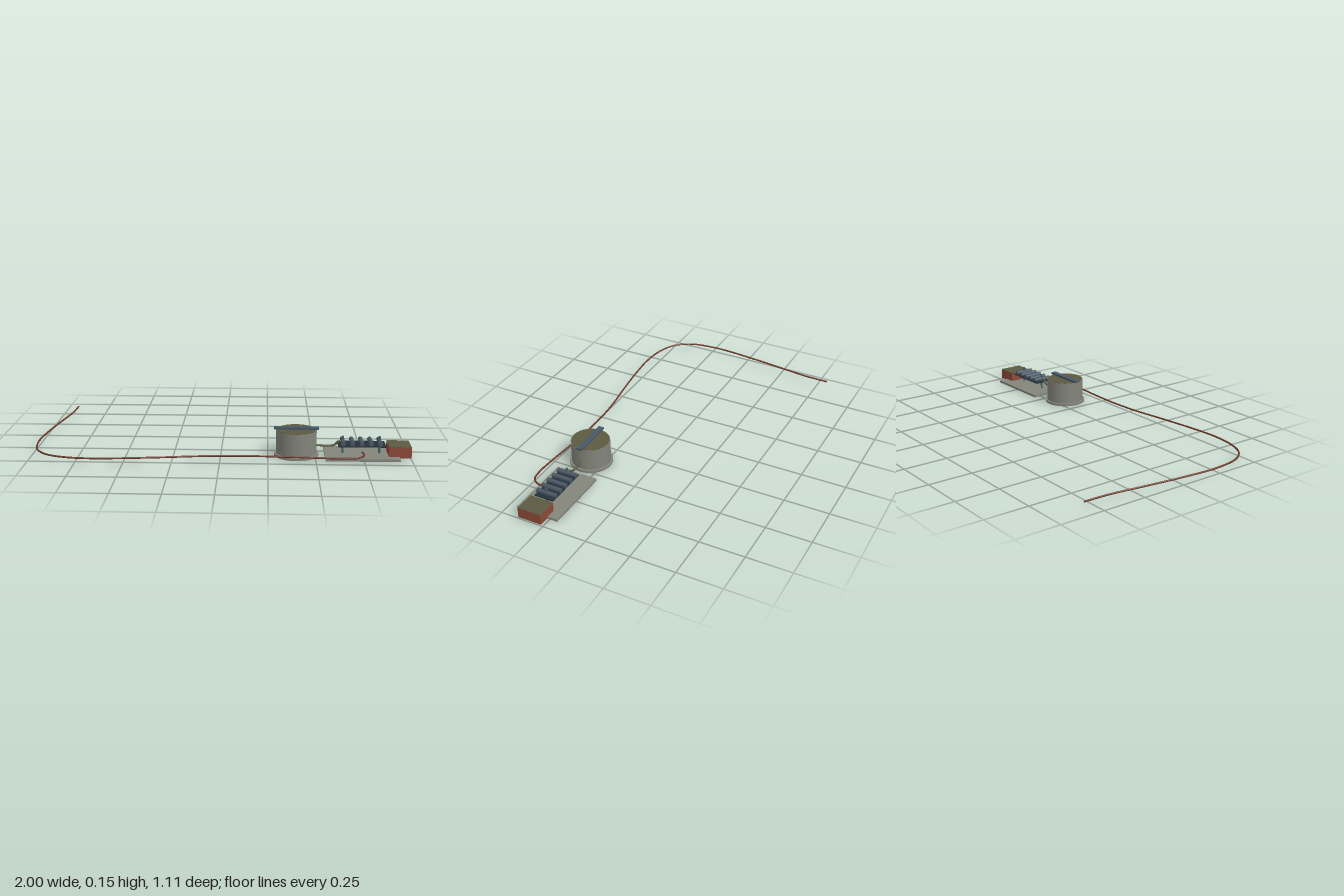
import * as THREE from 'three';

const mat = (name, color) => Object.assign(new THREE.MeshStandardMaterial({ color }), { name });

export function createModel() {
  const stone = mat('warm grey', 0x83847a);
  const olive = mat('olive', 0x5c5a40);
  const steel = mat('blue steel', 0x4a5865);
  const dark = mat('dark slate', 0x26323a);
  const teal = mat('teal', 0x3c6468);
  const brick = mat('brick red', 0x8c4a38);
  const hoseMat = mat('hose brown', 0x6e3a2c);

  const model = new THREE.Group();
  model.name = 'model';
  const add = (name, geometry, material, x, y, z, parent = model) => {
    const mesh = new THREE.Mesh(geometry, material);
    mesh.name = name;
    mesh.position.set(x, y, z);
    parent.add(mesh);
    return mesh;
  };
  const box = (w, h, d) => new THREE.BoxGeometry(w, h, d);
  const cyl = (r, h, n = 32) => new THREE.CylinderGeometry(r, r, h, n);
  const Z = 0.325;

  // Round tank with foot disc, surface and cross bar
  const tank = new THREE.Group();
  tank.name = 'tank';
  tank.position.set(0.4, 0, Z);
  model.add(tank);
  add('tankFoot', cyl(0.118, 0.014), stone, 0, 0.007, 0, tank);
  add('tankWall', cyl(0.107, 0.124), stone, 0, 0.076, 0, tank);
  add('tankTop', cyl(0.104, 0.003), olive, 0, 0.139, 0, tank);
  add('tankBar', box(0.235, 0.012, 0.03), steel, 0, 0.147, 0, tank);

  // Base plate and rack bed
  add('basePlate', box(0.388, 0.013, 0.242), stone, 0.744, 0.0085, Z);
  add('rackBed', box(0.25, 0.006, 0.112), dark, 0.744, 0.063, Z);

  // Five cross rods, with a post at each end of the rack
  for (let i = 0; i < 5; i++) {
    const x = 0.645 + i * 0.0485;
    add('rod', cyl(0.012, 0.114, 12), steel, x, 0.077, Z).rotation.x = Math.PI / 2;
    if (i % 4 === 0) add('post', cyl(0.006, 0.092, 10), teal, x, 0.06, Z);
  }

  // End block with olive top
  add('endBlock', box(0.118, 0.056, 0.136), brick, 0.941, 0.036, 0.328);
  add('endBlockTop', box(0.116, 0.004, 0.134), olive, 0.941, 0.066, 0.328);

  const tube = (points, r, segments, sides) => new THREE.TubeGeometry(
    new THREE.CatmullRomCurve3(points.map(p => new THREE.Vector3(...p))), segments, r, sides);

  // Short pipe from tank to rack
  add('pipe', tube([[0.5, 0.056, Z], [0.56, 0.053, Z], [0.6, 0.057, Z], [0.625, 0.078, Z], [0.645, 0.077, Z]],
    0.006, 24, 8), olive, 0, 0, 0);

  // Long trailing hose, lying level
  const path = [
    [0.745, 0.38], [0.75, 0.435], [0.72, 0.482], [0.66, 0.495], [0.535, 0.492], [0.35, 0.478],
    [0.13, 0.469], [-0.08, 0.48], [-0.29, 0.51], [-0.505, 0.536], [-0.665, 0.545], [-0.8, 0.528],
    [-0.905, 0.48], [-0.97, 0.39], [-0.995, 0.24], [-0.993, 0.13], [-0.975, -0.05],
    [-0.95, -0.24], [-0.927, -0.41], [-0.922, -0.555],
  ];
  add('hose', tube(path.map(([x, z]) => [x, 0.033, z]), 0.005, 160, 8), hoseMat, 0, 0, 0);
  for (const [x, z] of [path[0], path[path.length - 1]])
    add('hoseEnd', cyl(0.005, 0.002, 8), hoseMat, x, 0.033, z).rotation.x = Math.PI / 2;

  return model;
}
